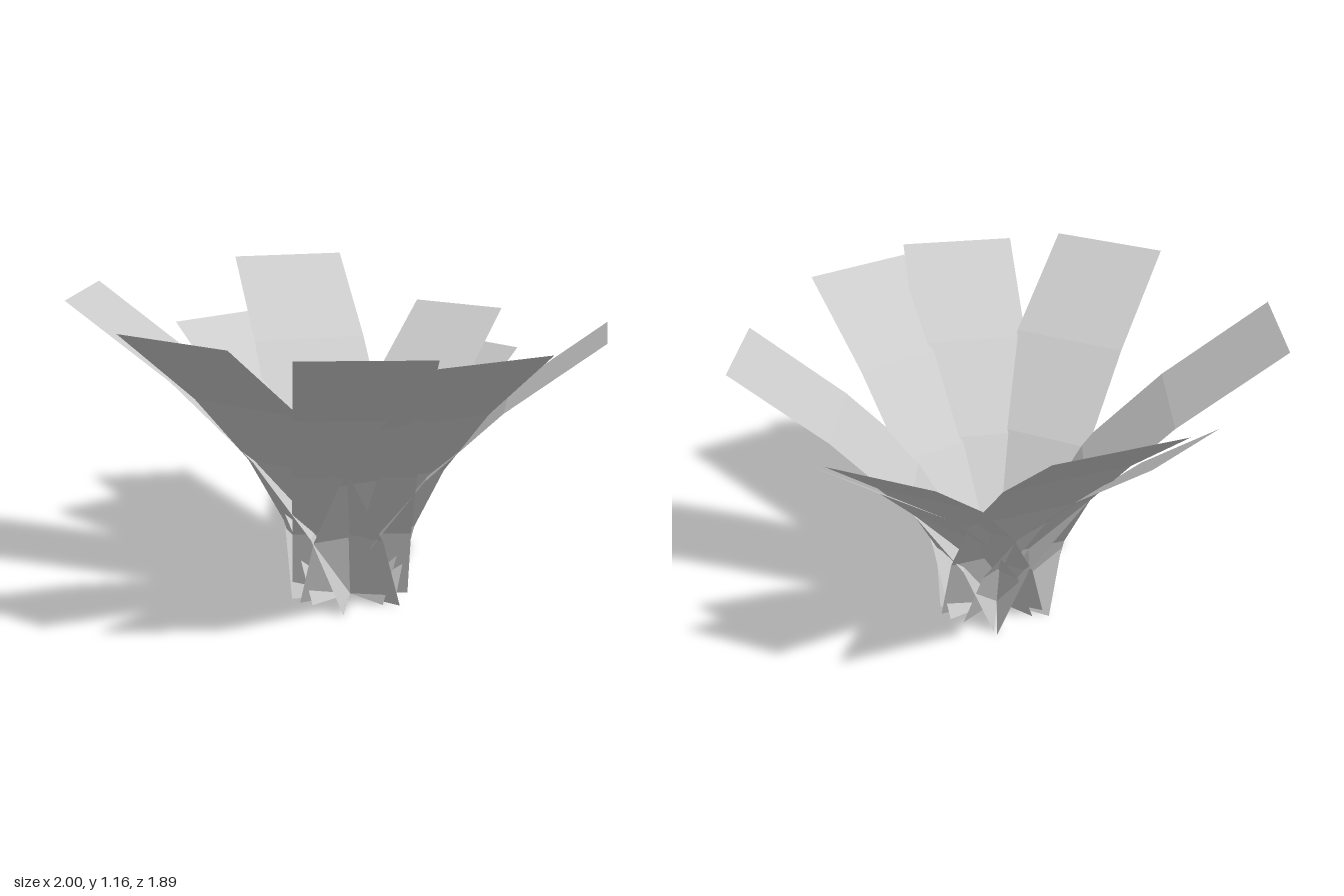
import * as THREE from 'three';

// Point where all the blades cross at the ground
const CENTRE = [0.025, -0.07];

// Outward reach at equal height steps, as a fraction of the full reach
const REACH = [0, 0.12, 0.33, 0.625, 1];

// Tip midpoint (x, z) and tip height of each blade
const BLADES = [
  [0.352, 0.87, 1.145],
  [0.835, 0.478, 1.12],
  [0.965, 0.067, 1.087],
  [0.688, -0.705, 1.047],
  [-0.095, -0.826, 0.873],
  [-0.31, -0.875, 0.99],
  [-0.918, -0.438, 1.16],
  [-0.804, 0.006, 0.96],
  [-0.655, 0.662, 1.15],
];

// Flat strip of constant width, rising from the origin and arching towards +z
function bladeGeometry(width, height, reach) {
  const steps = REACH.length - 1;
  const geometry = new THREE.PlaneGeometry(width, 1, 1, steps);
  const pos = geometry.attributes.position;
  for (let i = 0; i < pos.count; i++) {
    const step = Math.round((pos.getY(i) + 0.5) * steps);
    pos.setY(i, (height * step) / steps);
    pos.setZ(i, reach * REACH[step]);
  }
  geometry.computeVertexNormals();
  return geometry;
}

export function createModel() {
  const model = new THREE.Group();
  model.name = 'grassTuft';
  const material = new THREE.MeshStandardMaterial({
    color: 0xcccccc,
    flatShading: true,
    side: THREE.DoubleSide,
  });

  BLADES.forEach(([x, z, height], i) => {
    const dx = x - CENTRE[0];
    const dz = z - CENTRE[1];
    const blade = new THREE.Mesh(
      bladeGeometry(height * 0.393, height, Math.hypot(dx, dz)),
      material
    );
    blade.name = `blade${i + 1}`;
    blade.position.set(CENTRE[0], 0, CENTRE[1]);
    blade.rotation.y = Math.atan2(dx, dz);
    model.add(blade);
  });

  return model;
}
